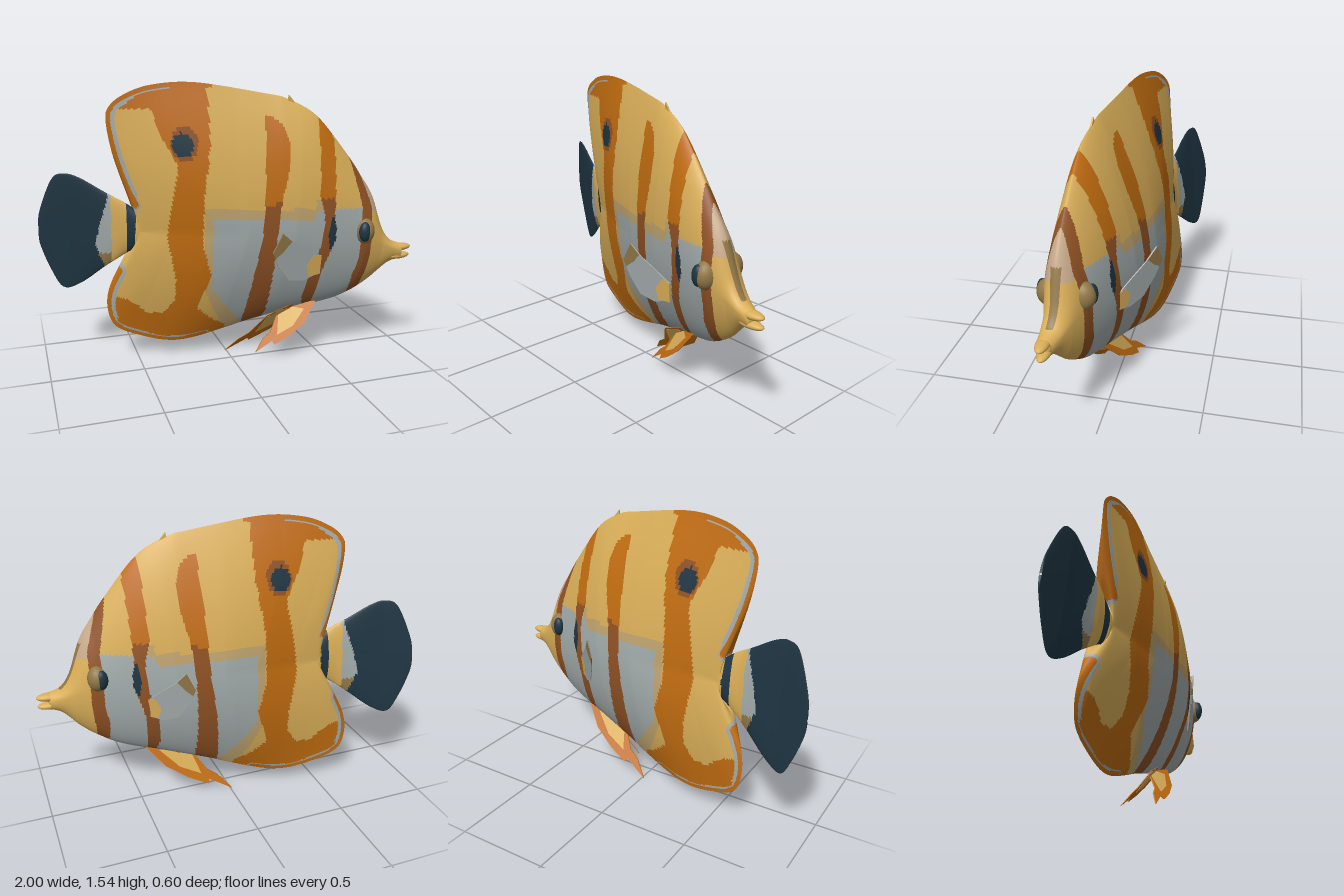
import * as THREE from 'three';

const COLORS = {
  yellow: 0xd9ae58, orange: 0xc06c10, brown: 0x905224, paleGrey: 0xa3abab,
  navy: 0x1f3542, beige: 0xc0a470, blush: 0xc6a98a, darkTan: 0x927848,
};
const NAMES = Object.keys(COLORS);

// Piecewise linear lookup in a list of [key, value] with rising keys
function lookup(table, k) {
  if (k <= table[0][0]) return table[0][1];
  for (let i = 1; i < table.length; i++) {
    const [a, va] = table[i - 1], [b, vb] = table[i];
    if (k <= b) return va + (vb - va) * (k - a) / (b - a);
  }
  return table[table.length - 1][1];
}
const spline = pts => new THREE.SplineCurve(pts.map(p => new THREE.Vector2(...p)));

// The swimming bend: mid-plane z at a point of the side outline, with a slight roll
const BEND = [[-1, -0.3], [-0.85, -0.235], [-0.6, -0.15], [-0.3, -0.08], [0, -0.02], [0.3, 0.05], [0.5, 0.1], [0.68, 0.145], [0.8, 0.165], [0.93, 0.2]];
const midZ = (x, y) => lookup(BEND, x) + 0.09 * (y - 0.75);

// Side outlines from snout to tail, spine positions and half widths
const SPINE_X = [[0, 0.925], [0.25, 0.66], [0.5, 0.1], [0.7, -0.31], [0.85, -0.43], [1, -0.5]];
const BODY = {
  top: [[0.925, 0.658], [0.86, 0.69], [0.81, 0.77], [0.745, 0.945], [0.675, 1.055], [0.595, 1.17], [0.425, 1.375], [0.27, 1.465],
    [0.15, 1.495], [-0.2, 1.552], [-0.42, 1.54], [-0.555, 1.49], [-0.625, 1.43], [-0.64, 1.36], [-0.615, 1.2], [-0.56, 1.02], [-0.5, 0.89]],
  bottom: [[0.925, 0.568], [0.865, 0.545], [0.78, 0.46], [0.7, 0.4], [0.6, 0.345], [0.49, 0.31], [0.33, 0.27], [0.1, 0.205],
    [0, 0.17], [-0.2, 0.11], [-0.34, 0.1], [-0.5, 0.14], [-0.62, 0.2], [-0.66, 0.31], [-0.645, 0.44], [-0.57, 0.6], [-0.5, 0.66]],
  spine: t => {
    const x = lookup(SPINE_X, t);
    return new THREE.Vector2(x, 0.77 - 0.155 * Math.max(0, (x - 0.3) / 0.63) ** 1.6);
  },
  widths: [[-0.5, 0.042], [-0.3, 0.088], [-0.12, 0.125], [0.05, 0.147], [0.3, 0.148], [0.5, 0.125], [0.7, 0.095], [0.8, 0.064], [0.925, 0.035]],
  sharpness: t => 1 + 0.3 * Math.min(1, t * 8) + 1.35 * Math.sin(Math.PI * t * t) ** 2,
  steps: 300, around: 180, paint: paintBody,
};
const TAIL = {
  top: [[-0.46, 0.85], [-0.55, 0.92], [-0.66, 0.985], [-0.78, 1.06], [-0.855, 1.082], [-0.92, 1.05], [-0.99, 0.87], [-1, 0.765]],
  bottom: [[-0.46, 0.69], [-0.55, 0.64], [-0.66, 0.565], [-0.79, 0.465], [-0.885, 0.435], [-0.945, 0.535], [-0.995, 0.68], [-1, 0.755]],
  spine: t => new THREE.Vector2(Math.max(-1, -0.46 - 0.64 * t), 0.77 - 0.01 * t),
  widths: [[-1, 0.002], [-0.78, 0.008], [-0.66, 0.014], [-0.55, 0.027], [-0.46, 0.045]],
  sharpness: () => 1,
  steps: 90, around: 80, paint: paintTail,
};

// Lofts rings between the top and bottom outlines, grouping faces by painted colour
function loft(name, { top, bottom, spine, widths, sharpness, steps, around, paint }, mats) {
  const upper = spline(top), lower = spline(bottom);
  const pos = [], buckets = NAMES.map(() => []);
  for (let i = 0; i <= steps; i++) {
    const t = i / steps, s = spine(t), a = upper.getPoint(t), b = lower.getPoint(t);
    for (let j = 0; j < around; j++) {
      const th = j / around * Math.PI * 2, f = Math.cos(th), sn = Math.sin(th);
      const p = s.clone().lerp(f > 0 ? a : b, Math.abs(f));
      const half = lookup(widths, s.x) * Math.abs(sn) ** sharpness(t) + 0.004 * Math.abs(sn);
      pos.push(p.x, p.y, midZ(p.x, p.y) + Math.sign(sn) * half);
    }
  }
  for (let i = 0; i < steps; i++) for (let j = 0; j < around; j++) {
    const k = (j + 1) % around;
    const a = i * around + j, b = a + around, c = i * around + k, d = c + around;
    const x = (pos[a * 3] + pos[d * 3]) / 2, y = (pos[a * 3 + 1] + pos[d * 3 + 1]) / 2;
    const f = Math.cos((j + 0.5) / around * Math.PI * 2);
    buckets[NAMES.indexOf(paint(x, y, f))].push(a, b, c, b, d, c);
  }
  const geo = new THREE.BufferGeometry();
  geo.setAttribute('position', new THREE.Float32BufferAttribute(pos, 3));
  geo.setIndex(buckets.flat());
  let start = 0;
  buckets.forEach((b, m) => {
    if (b.length) geo.addGroup(start, b.length, m);
    start += b.length;
  });
  geo.computeVertexNormals();
  const mesh = new THREE.Mesh(geo, NAMES.map(n => mats[n]));
  mesh.name = name;
  return mesh;
}

// Stripe edges as [y, x]
const REAR = {
  l: [[0.3, -0.36], [0.37, -0.31], [0.5, -0.31], [0.75, -0.355], [1.0, -0.32], [1.12, -0.3], [1.2, -0.33], [1.28, -0.38], [1.42, -0.42]],
  r: [[0.19, -0.02], [0.24, -0.1], [0.32, -0.19], [0.53, -0.13], [0.69, -0.175], [0.96, -0.175], [1.23, -0.14]],
};
const MIDDLE = {
  l: [[0.25, 0.07], [0.53, 0.095], [0.75, 0.125], [1.38, 0.145]],
  r: [[0.27, 0.19], [0.75, 0.2], [0.96, 0.22], [1.12, 0.26], [1.25, 0.26], [1.34, 0.23], [1.39, 0.16]],
};
const SHOULDER = {
  l: [[0.25, 0.41], [0.37, 0.38], [0.53, 0.395], [0.7, 0.44], [0.85, 0.45], [0.96, 0.42], [1.36, 0.425]],
  r: [[0.3, 0.44], [0.53, 0.455], [0.67, 0.5], [1.33, 0.51]],
};
const EYE_BAND = {
  l: [[0.4, 0.64], [0.5, 0.64], [0.6, 0.66], [0.9, 0.66], [1.16, 0.6]],
  r: [[0.4, 0.7], [0.6, 0.725], [0.9, 0.72], [1.16, 0.63]],
};
// Top of the orange patch on the anal fin as [x, y], and the front of the navy tail as [y, x]
const LOWER_ORANGE = [[-0.66, 0.4], [-0.56, 0.37], [-0.5, 0.33], [-0.45, 0.285], [-0.25, 0.3], [-0.1, 0.24], [0, 0]];
const TAIL_NAVY = [[0.56, -0.665], [0.68, -0.715], [0.8, -0.69], [0.95, -0.645]];
const inBand = (b, x, y) => x > lookup(b.l, y) && x < lookup(b.r, y);
const inOval = (x, y, cx, cy, rx, ry) => ((x - cx) / rx) ** 2 + ((y - cy) / ry) ** 2 < 1;

// Distance from the rear fin edges, for the margin line
const RIM = [BODY.top, BODY.bottom].flatMap(l => spline(l.slice(8)).getPoints(120))
  .filter(p => p.x < -0.12 && (p.y > 0.92 || p.y < 0.55));
const rimDistance = (x, y) => Math.min(...RIM.map(p => Math.hypot(p.x - x, p.y - y)));

function paintBody(x, y, f) {
  if (x < -0.1) {
    const d = rimDistance(x, y);
    if (d < 0.022) return 'orange';
    if (d < (y < 0.25 || x > -0.5 ? 0.03 : 0.042) && !(y > 1.3 && x > -0.32)) return 'paleGrey';
  }
  if (inOval(x, y, -0.275, 1.24, 0.052, 0.062)) return 'navy';
  if (inOval(x, y, -0.265, 1.245, 0.068, 0.09)) return 'brown';
  if (inOval(x, y, 0.495, 0.76, 0.02, 0.09)) return 'navy';
  if (inBand(REAR, x, y) || y < lookup(LOWER_ORANGE, x) || (x < -0.14 && y > 1.42)) return 'orange';
  if (y < 1.385 && inBand(MIDDLE, x, y)) return y > 0.93 ? 'orange' : 'brown';
  if (inBand(SHOULDER, x, y)) return y > 0.95 ? 'orange' : 'brown';
  if (inBand(EYE_BAND, x, y)) return 'brown';
  if (x > lookup(EYE_BAND.r, y)) {
    if (f > 0.93 && y > 0.68 && y < 0.93) return 'darkTan';
    return y > 0.86 ? 'blush' : 'yellow';
  }
  const drop = Math.max(0, 0.45 - y), roof = x > 0.4 ? 0.89 : 0.84;
  if (x > drop * 0.75 - 0.125 && y < roof) return 'paleGrey';
  if (x > drop * 0.5 - 0.17 && y < roof + 0.06 && x < 0.5) return 'beige';
  return 'yellow';
}

function paintTail(x, y) {
  if (x < lookup(TAIL_NAVY, y)) return 'navy';
  if (x > -0.505) return 'yellow';
  if (x > -0.55) return 'navy';
  if (x > -0.63) return 'yellow';
  return y < 0.64 ? 'darkTan' : 'paleGrey';
}

// Fin outlines in side view
const PECTORAL = [[0.43, 0.64], [0.345, 0.69], [0.26, 0.735], [0.195, 0.79], [0.14, 0.69], [0.175, 0.61], [0.24, 0.525], [0.33, 0.51], [0.425, 0.54]];
const PECTORAL_BASE = [[0.435, 0.64], [0.39, 0.65], [0.345, 0.59], [0.36, 0.53], [0.43, 0.535]];
const PECTORAL_TIP = [[0.25, 0.742], [0.195, 0.79], [0.14, 0.69], [0.155, 0.655], [0.2, 0.69]];
const PELVIC = [[0.47, 0.33], [0.36, 0.2], [0.24, 0.12], [0.13, 0.065], [0.12, 0.085], [-0.01, 0.01], [0.06, 0.09], [0.12, 0.13], [0.2, 0.25], [0.34, 0.31]];
const PELVIC_PANEL = [[0.38, 0.28], [0.28, 0.18], [0.16, 0.12], [0.2, 0.24], [0.3, 0.285]];
const SPINES = [[0.36, 1.39], [0.32, 1.43], [0.275, 1.485], [0.27, 1.455], [0.2, 1.47], [0.25, 1.4]];

export function createModel() {
  const fish = new THREE.Group();
  fish.name = 'reefFish';
  const mats = {};
  for (const n of NAMES) {
    mats[n] = new THREE.MeshStandardMaterial({ color: COLORS[n] });
    mats[n].name = n;
  }
  fish.add(loft('body', BODY, mats), loft('tailFin', TAIL, mats));

  const add = (name, color, geo) => {
    const m = new THREE.Mesh(geo, mats[color]);
    m.name = name;
    fish.add(m);
  };
  const ball = (name, color, p, r) => add(name, color, new THREE.SphereGeometry(1, 24, 16).scale(...r).translate(...p));
  // Jaws and the root of the tail
  ball('upperJaw', 'yellow', [0.915, 0.637, 0.19], [0.08, 0.022, 0.034]);
  ball('lowerJaw', 'yellow', [0.915, 0.588, 0.186], [0.077, 0.021, 0.032]);
  ball('mouth', 'yellow', [0.915, 0.613, 0.188], [0.02, 0.045, 0.035]);
  ball('tailRoot', 'yellow', [-0.497, 0.775, -0.124], [0.025, 0.112, 0.042]);
  // Eyes
  for (const s of [1, -1]) {
    const z = 0.148 + s * 0.082;
    ball('eye', 'darkTan', [0.683, 0.76, z], [0.053, 0.072, 0.062]);
    ball('pupil', 'navy', [0.667, 0.762, z + s * 0.038], [0.033, 0.054, 0.028]);
  }

  // Thin fins: a side outline extruded a little and laid in a slanted plane through [x, y, z]
  const fin = (name, color, pts, thick, [x0, y0, z0], slopeX, slopeY) => {
    const shape = new THREE.Shape(pts.map(p => new THREE.Vector2(...p)));
    const geo = new THREE.ExtrudeGeometry(shape, { depth: thick, bevelEnabled: false });
    const p = geo.attributes.position;
    for (let i = 0; i < p.count; i++) {
      p.setZ(i, p.getZ(i) - thick / 2 + z0 + slopeX * (p.getX(i) - x0) + slopeY * (p.getY(i) - y0));
    }
    geo.computeVertexNormals();
    add(name, color, geo);
  };
  // Pectoral fins, the right one raised and spread wider
  const raise = ([x, y]) => [0.45 + (x - 0.43) * 0.72, y + (0.43 - x) * 0.2];
  for (const [part, color, pts, thick] of [['Fin', 'paleGrey', PECTORAL, 0.006], ['FinBase', 'yellow', PECTORAL_BASE, 0.009], ['FinTip', 'darkTan', PECTORAL_TIP, 0.009]]) {
    fin('leftPectoral' + part, color, pts, thick, [0.43, 0.6, 0.222], -0.13, 0.08);
    fin('rightPectoral' + part, color, pts.map(raise), thick, [0.45, 0.6, -0.04], 0.8, -0.12);
  }
  // Pelvic fins with yellow panels, the left one shorter, their lower edges spread outward
  const shorten = ([x, y]) => [0.47 + (x - 0.47) * 0.72, 0.33 + (y - 0.33) * 0.88];
  for (const [part, color, pts, thick] of [['Fin', 'orange', PELVIC, 0.006], ['Panel', 'yellow', PELVIC_PANEL, 0.009]]) {
    fin('leftPelvic' + part, color, pts.map(shorten), thick, [0.46, 0.32, 0.09], 0.7, -0.75);
    fin('rightPelvic' + part, color, pts, thick, [0.46, 0.32, 0.04], -0.16, 0.7);
  }
  // Dorsal spine points
  fin('dorsalSpines', 'yellow', SPINES, 0.009, [0.28, 1.45, 0.11], 0.2, 0.09);
  return fish;
}
